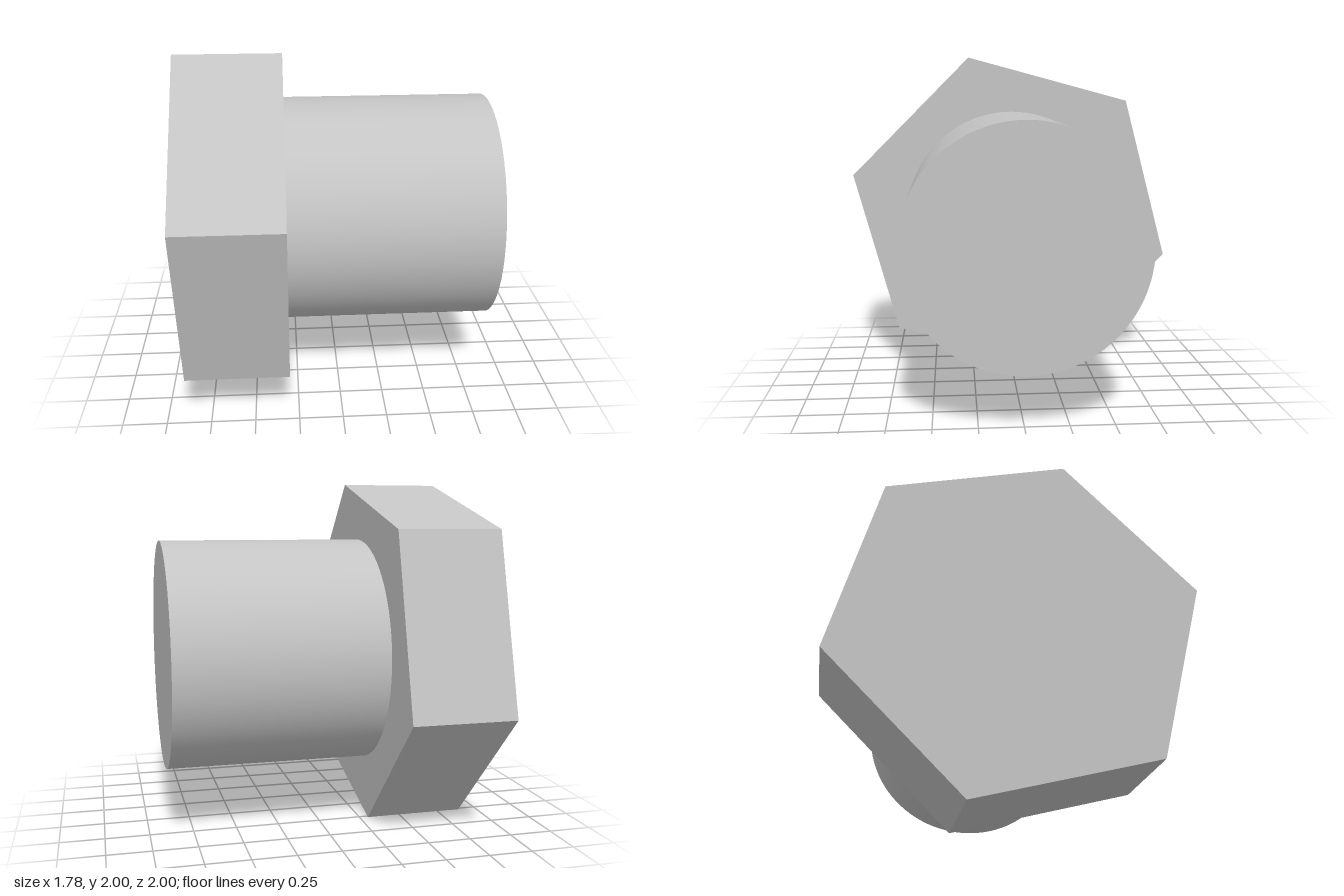
import * as THREE from 'three';

const steel = new THREE.MeshStandardMaterial({ color: 0xc4c4c4 });
steel.name = 'light grey';

// Cylinder or prism lying along x, from x0 to x1, on the axis y = 1
function barAlongX(name, radius, x0, x1, sides, thetaStart, faceted) {
  let geometry = new THREE.CylinderGeometry(radius, radius, x1 - x0, sides, 1, false, thetaStart);
  geometry.rotateZ(-Math.PI / 2);
  if (faceted) {
    geometry = geometry.toNonIndexed();
    geometry.computeVertexNormals();
  }
  const mesh = new THREE.Mesh(geometry, steel);
  mesh.name = name;
  mesh.position.set((x0 + x1) / 2, 1, 0);
  return mesh;
}

export function createModel() {
  const group = new THREE.Group();
  group.name = 'hexBolt';

  // Six-sided head, turned 15 degrees about its axis
  const headRadius = 1 / Math.cos(Math.PI / 12);
  group.add(barAlongX('head', headRadius, -0.89, -0.3, 6, -Math.PI / 12, true));

  // Smooth round shank
  group.add(barAlongX('shank', 0.664, -0.3, 0.89, 96, 0, false));

  return group;
}
